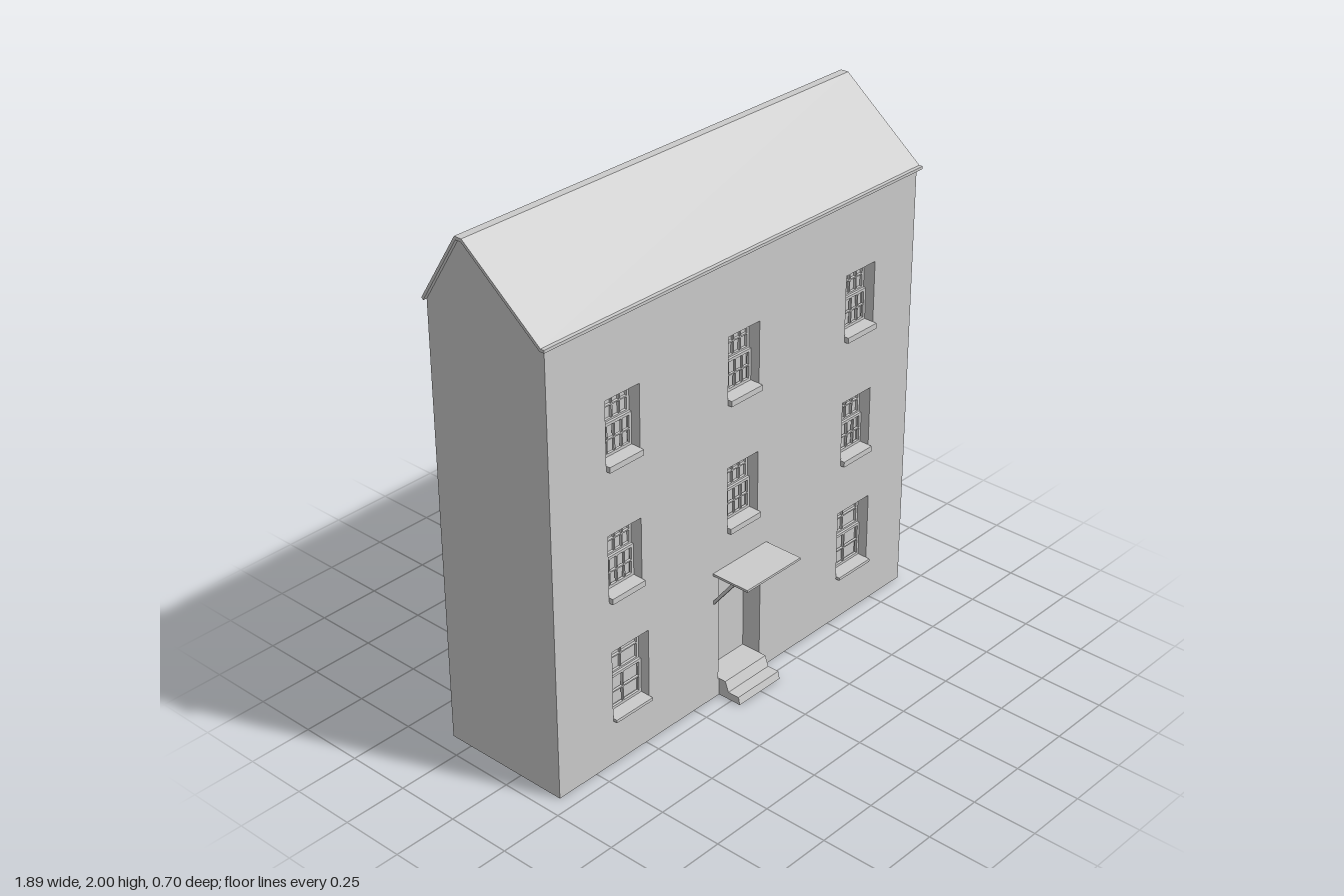
import * as THREE from 'three';

const FRONT = 0.19, BACK = -0.34, HALF = 0.93, EAVE = 1.725;

export function createModel() {
  const house = new THREE.Group();
  house.name = 'townHouse';
  const mat = new THREE.MeshStandardMaterial({ color: 0xcccccc });
  const thin = new THREE.MeshStandardMaterial({ color: 0xcccccc, side: THREE.DoubleSide });

  const add = (parent, name, geo, material = mat) => {
    const mesh = new THREE.Mesh(geo, material);
    mesh.name = name;
    parent.add(mesh);
    return mesh;
  };
  // box given by its limits
  const box = (parent, name, x0, x1, y0, y1, z0, z1) =>
    add(parent, name, new THREE.BoxGeometry(x1 - x0, y1 - y0, z1 - z0))
      .position.set((x0 + x1) / 2, (y0 + y1) / 2, (z0 + z1) / 2);
  const shapeOf = pts => new THREE.Shape(pts.map(p => new THREE.Vector2(p[0], p[1])));
  // [z, y] profile extruded from x0 to x1
  const extrudeX = (pts, x0, x1) =>
    new THREE.ExtrudeGeometry(shapeOf(pts), { depth: x1 - x0, bevelEnabled: false })
      .rotateY(-Math.PI / 2).translate(x1, 0, 0);
  const rect = (x0, x1, y0, y1) => [[x0, y0], [x1, y0], [x1, y1], [x0, y1]];

  // Openings in the front wall
  const windows = [];
  for (const cx of [-0.59, 0.005, 0.63]) {
    for (const y0 of [1.2, 0.69]) {
      windows.push({ x0: cx - 0.08, x1: cx + 0.08, y0, y1: y0 + 0.24, cols: 4, sill: 0.022 });
    }
  }
  for (const cx of [-0.572, 0.633]) {
    windows.push({ x0: cx - 0.09, x1: cx + 0.09, y0: 0.19, y1: 0.465, cols: 2, sill: 0.012 });
  }
  const door = { x0: -0.12, x1: 0.105, y0: 0.07, y1: 0.515 };

  // Walls: thin shell, open underneath
  const walls = new THREE.Group();
  walls.name = 'walls';
  house.add(walls);
  const facade = shapeOf(rect(-HALF, HALF, 0, EAVE));
  for (const o of [...windows, door]) facade.holes.push(shapeOf(rect(o.x0, o.x1, o.y0, o.y1)));
  add(walls, 'frontWall', new THREE.ShapeGeometry(facade), thin).position.z = FRONT;
  add(walls, 'backWall', new THREE.PlaneGeometry(2 * HALF, EAVE).rotateY(Math.PI), thin)
    .position.set(0, EAVE / 2, BACK);
  const gable = shapeOf([[FRONT, 0], [FRONT, EAVE], [-0.148, 1.988], [-0.172, 1.988], [BACK, EAVE], [BACK, 0]]);
  for (const side of [-1, 1]) {
    const geo = new THREE.ShapeGeometry(gable).rotateY(-Math.PI / 2);
    if (side > 0) geo.setIndex([...geo.index.array].reverse());
    if (side > 0) geo.computeVertexNormals();
    add(walls, side < 0 ? 'rightGable' : 'leftGable', geo, thin).position.x = side * HALF;
  }

  // Roof: thin folded sheet with a narrow flat ridge
  add(house, 'roof', extrudeX([
    [0.205, 1.724], [0.205, 1.735], [0.19, 1.735], [-0.145, 2], [-0.177, 2], [-0.348, 1.732],
    [-0.34, 1.724], [-0.172, 1.988], [-0.148, 1.988], [0.185, 1.724]], -0.945, 0.945));

  // Reveal: four sides and a back panel set into the wall
  const recess = (parent, o, depth) => {
    const w = o.x1 - o.x0, h = o.y1 - o.y0, cx = (o.x0 + o.x1) / 2, cy = (o.y0 + o.y1) / 2;
    const z = FRONT - depth / 2;
    for (const s of [-1, 1]) {
      add(parent, 'revealSide', new THREE.PlaneGeometry(depth, h).rotateY(-s * Math.PI / 2), thin)
        .position.set(cx + s * w / 2, cy, z);
      add(parent, 'revealEnd', new THREE.PlaneGeometry(w, depth).rotateX(s * Math.PI / 2), thin)
        .position.set(cx, cy + s * h / 2, z);
    }
    add(parent, 'backPanel', new THREE.PlaneGeometry(w, h), thin).position.set(cx, cy, FRONT - depth);
  };

  // Sash: outer frame with glazing bars, two rows of panes
  const sash = (parent, x0, x1, y0, y1, cols, z0, z1) => {
    const t = 0.008, b = 0.0025;
    const frame = shapeOf(rect(x0, x1, y0, y1));
    const pw = (x1 - x0 - 2 * t) / cols, ph = (y1 - y0 - 2 * t) / 2;
    for (let i = 0; i < cols; i++) {
      for (let j = 0; j < 2; j++) {
        const px = x0 + t + i * pw, py = y0 + t + j * ph;
        frame.holes.push(shapeOf(rect(px + b, px + pw - b, py + b, py + ph - b)));
      }
    }
    add(parent, 'sash', new THREE.ExtrudeGeometry(frame, { depth: z1 - z0, bevelEnabled: false }))
      .position.z = z0;
  };

  // Windows: lower sash stands in front of the upper one
  for (const o of windows) {
    const win = new THREE.Group();
    win.name = 'window';
    house.add(win);
    recess(win, o, 0.06);
    const mid = (o.y0 + o.y1) / 2;
    sash(win, o.x0, o.x1, mid, o.y1, o.cols, FRONT - 0.058, FRONT - 0.048);
    sash(win, o.x0, o.x1, o.y0, mid + 0.004, o.cols, FRONT - 0.048, FRONT - 0.038);
    box(win, 'sill', o.x0, o.x1, o.y0 - o.sill, o.y0, FRONT - 0.01, 0.207);
  }

  // Entrance: door, steps and bracketed canopy
  const entrance = new THREE.Group();
  entrance.name = 'entrance';
  house.add(entrance);
  recess(entrance, door, 0.08);
  add(entrance, 'steps', extrudeX([
    [FRONT, 0], [0.29, 0], [0.283, 0.03], [0.235, 0.03], [0.22, 0.07], [FRONT, 0.07]], -0.115, 0.105));
  box(entrance, 'canopy', -0.15, 0.136, 0.526, 0.535, FRONT, 0.35);
  for (const x of [-0.146, 0.12]) {
    add(entrance, 'canopyBracket', extrudeX(
      [[FRONT, 0.403], [0.288, 0.526], [0.272, 0.526], [FRONT, 0.42]], x, x + 0.012));
  }
  return house;
}
